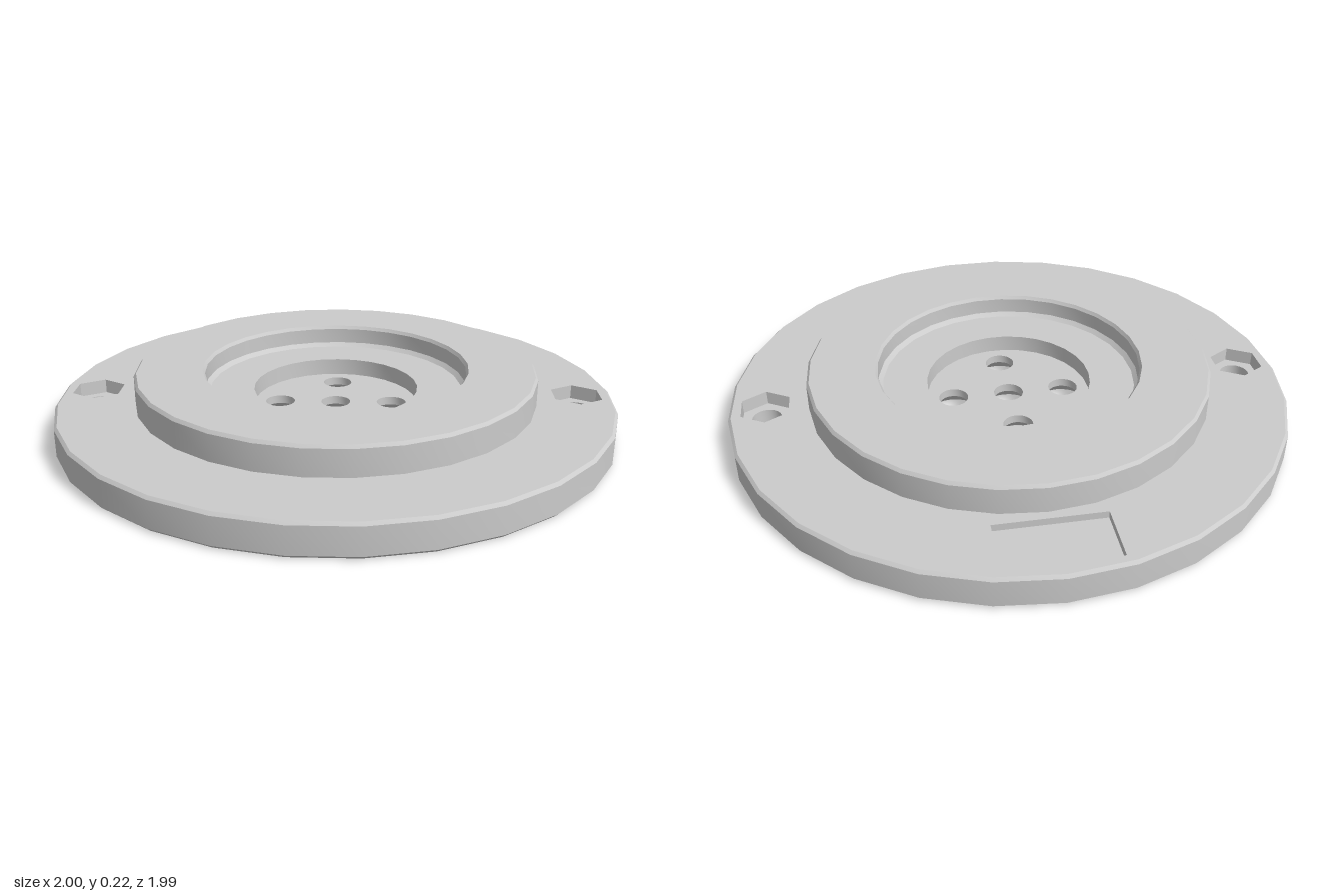
import * as THREE from 'three';
import { toCreasedNormals } from 'three/addons/utils/BufferGeometryUtils.js';

const SIDES = 29;        // facets of the large rings
const HOLE_SIDES = 24;   // facets of the drilled holes
const BASE_TOP = 0.115, RING_TOP = 0.22, POCKET_FLOOR = 0.077, HEX_FLOOR = 0.065;
const material = new THREE.MeshStandardMaterial({ color: 0xcccccc });

// Regular outline in x/z with its first corner towards the back
function ring(r, sides, cx = 0, cz = 0) {
  return Array.from({ length: sides }, (_, i) => {
    const a = Math.PI + (i / sides) * Math.PI * 2;
    return [cx + r * Math.sin(a), cz + r * Math.cos(a)];
  });
}

// Flat face at height y with holes cut through it
function plate(outline, holes, y, up = true) {
  const toPoints = (list) => list.map(([x, z]) => new THREE.Vector2(x, up ? -z : z));
  const shape = new THREE.Shape(toPoints(outline));
  shape.holes = holes.map((h) => new THREE.Path(toPoints(h)));
  return new THREE.ShapeGeometry(shape)
    .rotateX(up ? -Math.PI / 2 : Math.PI / 2)
    .translate(0, y, 0);
}

// Turned surface; a rising profile faces outwards, a falling one inwards
function turned(profile, sides, x = 0, z = 0) {
  const points = profile.map(([r, y]) => new THREE.Vector2(r, y));
  const geometry = new THREE.LatheGeometry(points, sides, Math.PI).translate(x, 0, z);
  return toCreasedNormals(geometry, 0.5);
}

export function createModel() {
  const model = new THREE.Group();
  const add = (name, geometry) => {
    const mesh = new THREE.Mesh(geometry, material);
    mesh.name = name;
    model.add(mesh);
  };

  const screwSpots = [[0, 0], [0.203, 0], [-0.203, 0], [0, 0.203], [0, -0.203]];
  const boltSpots = [[0.872, 0], [-0.872, 0]];
  const holes = (spots, r, sides = HOLE_SIDES) => spots.map(([x, z]) => ring(r, sides, x, z));

  // Recessed label panel near the back edge
  const labelW = 0.37, labelD = 0.195, labelZ = -0.847, labelFloor = BASE_TOP - 0.025;
  const w = labelW / 2, d = labelD / 2;
  const labelOutline = [[-w, labelZ - d], [w, labelZ - d], [w, labelZ + d], [-w, labelZ + d]];

  // Base disc: chamfered rim, flange top and underside
  add('baseRim', turned([[0.99, 0], [1, 0.01], [1, BASE_TOP - 0.01], [0.99, BASE_TOP]], SIDES));
  add('flangeTop', plate(
    ring(0.99, SIDES),
    [ring(0.72, SIDES), ...holes(boltSpots, 0.096, 6), labelOutline],
    BASE_TOP));
  add('underside', plate(
    ring(0.99, SIDES),
    [...holes(screwSpots, 0.1), ...holes(boltSpots, 0.053)],
    0, false));

  // Raised ring with its stepped recess
  add('raisedRing', turned([
    [0.72, BASE_TOP], [0.72, RING_TOP - 0.011], [0.711, RING_TOP],
    [0.478, RING_TOP], [0.47, RING_TOP - 0.012], [0.47, 0.152], [0.455, 0.138],
    [0.296, 0.138], [0.296, POCKET_FLOOR],
  ], SIDES));
  add('pocketFloor', plate(ring(0.296, SIDES), holes(screwSpots, 0.053), POCKET_FLOOR));

  // Screw holes, countersunk from below
  for (const [x, z] of screwSpots) {
    add('screwHole', turned([[0.053, POCKET_FLOOR], [0.053, 0.047], [0.1, 0]], HOLE_SIDES, x, z));
  }

  // Bolt holes with hexagonal nut pockets
  for (const [x, z] of boltSpots) {
    add('nutPocketWall', turned([[0.096, BASE_TOP], [0.096, HEX_FLOOR]], 6, x, z));
    add('nutPocketFloor', plate(ring(0.096, 6, x, z), [ring(0.053, HOLE_SIDES, x, z)], HEX_FLOOR));
    add('boltHole', turned([[0.053, HEX_FLOOR], [0.053, 0]], HOLE_SIDES, x, z));
  }

  // Label panel walls (a four-sided turned wall) and floor
  const half = Math.SQRT1_2;
  const walls = new THREE.LatheGeometry(
    [new THREE.Vector2(half, BASE_TOP), new THREE.Vector2(half, labelFloor)], 4, Math.PI / 4)
    .scale(labelW, 1, labelD)
    .translate(0, 0, labelZ);
  add('labelPanelWalls', toCreasedNormals(walls, 0.5));
  add('labelPanelFloor', plate(labelOutline, [], labelFloor));

  return model;
}
